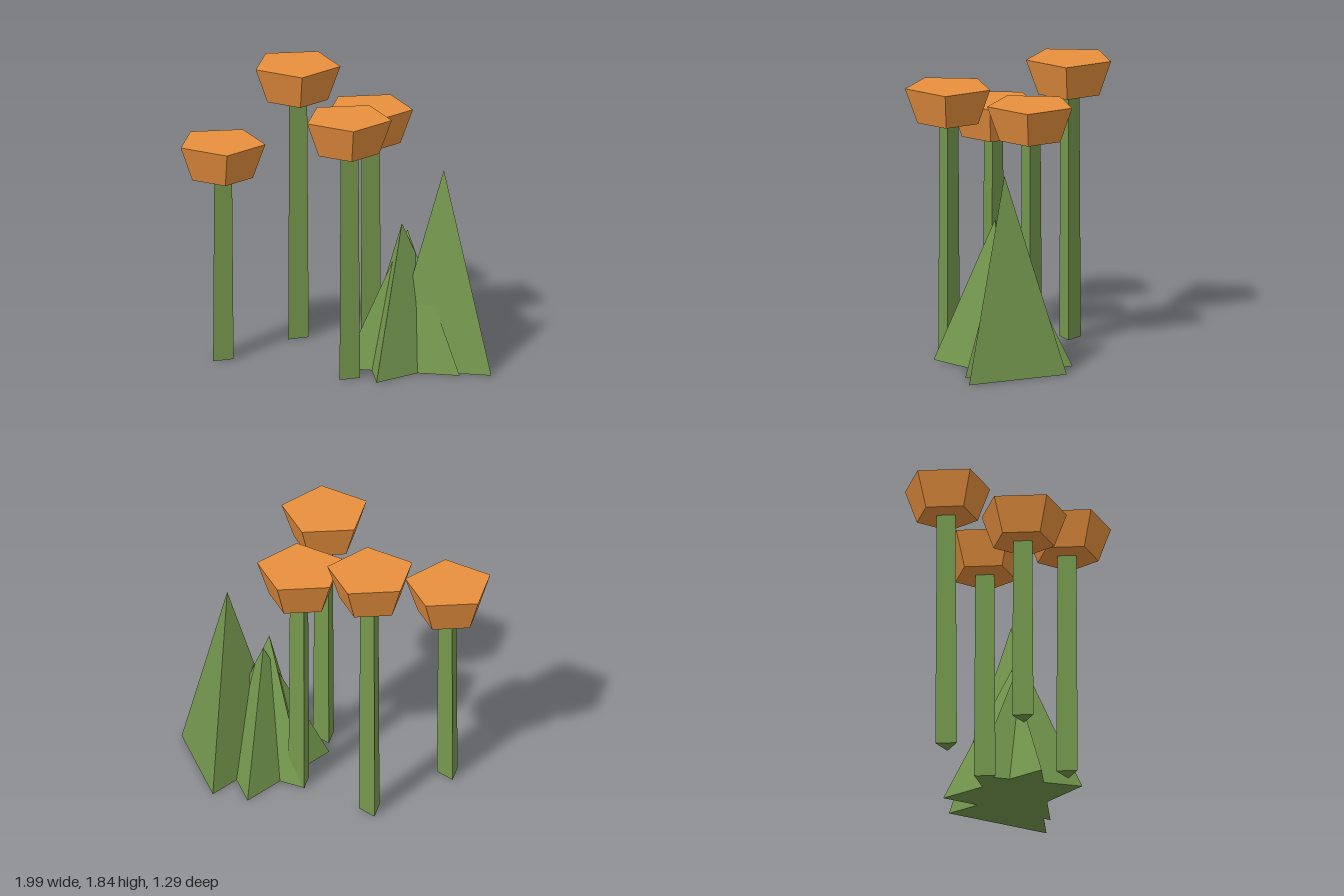
import * as THREE from 'three';

const orange = new THREE.MeshStandardMaterial({ color: 0xe8903e, flatShading: true });
const green = new THREE.MeshStandardMaterial({ color: 0x76994f, flatShading: true });

// Faceted, tapered prism standing at height y; the first corner points along angle
function prism(name, material, sides, rTop, rBottom, height, x, y, z, angle) {
  const geometry = new THREE.CylinderGeometry(rTop, rBottom, height, sides, 1, false, angle);
  const mesh = new THREE.Mesh(geometry, material);
  mesh.name = name;
  mesh.position.set(x, y + height / 2, z);
  return mesh;
}

// Three-sided stem carrying a flared five-sided blossom
function flower(x, z, stemHeight) {
  const group = new THREE.Group();
  group.name = 'flower';
  group.add(prism('stem', green, 3, 0.07, 0.08, stemHeight, x, 0, z, Math.PI / 2));
  group.add(prism('blossom', orange, 5, 0.287, 0.205, 0.23, x, stemHeight, z, Math.PI / 2));
  return group;
}

export function createModel() {
  const model = new THREE.Group();
  model.name = 'flowerPatch';

  // Flowers: x, z, stem height
  for (const [x, z, h] of [
    [-0.767, 0.15, 1.23],
    [-0.377, -0.37, 1.61],
    [0.135, -0.16, 1.42],
    [0.098, 0.37, 1.52],
  ]) model.add(flower(x, z, h));

  // Cluster of overlapping leaf spikes: x, z, radius, height, corner angle
  const leaves = new THREE.Group();
  leaves.name = 'leafCluster';
  for (const [x, z, r, h, angle] of [
    [0.648, -0.03, 0.4, 1.3, Math.PI],
    [0.415, -0.01, 0.44, 0.89, Math.PI],
    [0.39, 0.05, 0.41, 0.95, -0.22],
  ]) leaves.add(prism('leafSpike', green, 3, 0, r, h, x, 0, z, angle));
  model.add(leaves);

  return model;
}
